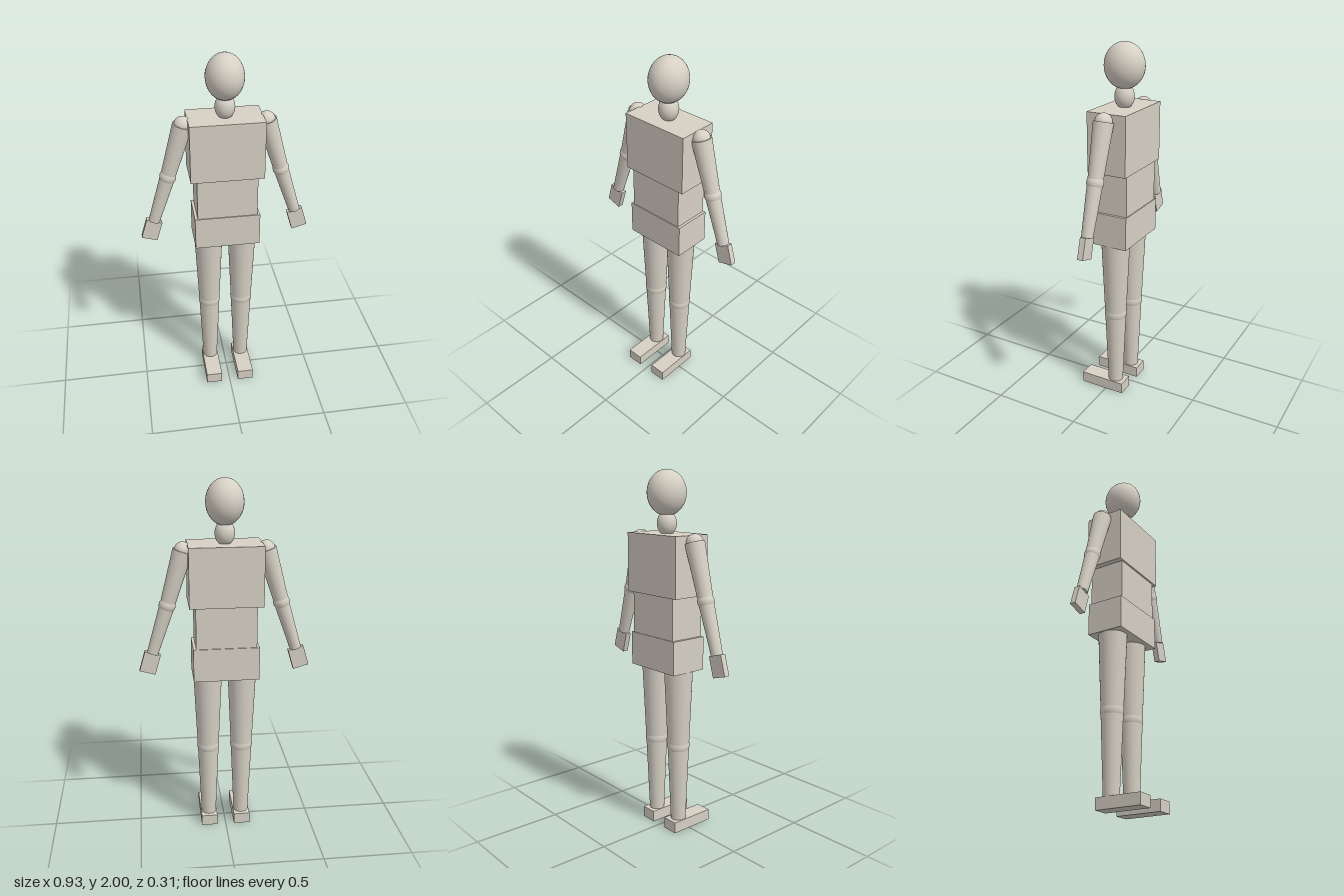
import * as THREE from 'three';

const Z = -0.044; // depth of the body axis

export function createModel() {
  const model = new THREE.Group();
  model.name = 'mannequin';
  const clay = new THREE.MeshStandardMaterial({ color: 0xd6d0c4 });
  clay.name = 'warm grey';

  const add = (name, geometry, x, y, z = Z) => {
    const mesh = new THREE.Mesh(geometry, clay);
    mesh.name = name;
    mesh.position.set(x, y, z);
    model.add(mesh);
    return mesh;
  };
  const box = (name, w, h, d, x, y, z) => add(name, new THREE.BoxGeometry(w, h, d), x, y, z);
  const ball = (name, r, x, y) => add(name, new THREE.SphereGeometry(r, 32, 20), x, y);

  // Tapered limb segment from point a (radius ra) down to point b (radius rb)
  const limb = (name, a, ra, b, rb) => {
    const dx = b[0] - a[0], dy = b[1] - a[1];
    const geometry = new THREE.CylinderGeometry(ra, rb, Math.hypot(dx, dy), 32);
    const mesh = add(name, geometry, (a[0] + b[0]) / 2, (a[1] + b[1]) / 2);
    mesh.rotation.z = Math.atan2(dx, -dy);
  };

  // Head and neck
  ball('head', 1, 0, 1.88).scale.set(0.1, 0.12, 0.109);
  ball('neck', 1, 0, 1.722).scale.set(0.053, 0.066, 0.053);

  // Torso blocks
  box('chest', 0.392, 0.32, 0.222, 0, 1.51);
  box('abdomen', 0.326, 0.226, 0.202, 0, 1.237);
  box('pelvis', 0.356, 0.184, 0.212, 0, 1.032);

  for (const [side, s] of [['left', 1], ['right', -1]]) {
    // Arm
    const shoulder = [s * 0.219, 1.635], elbow = [s * 0.306, 1.345], wrist = [s * 0.392, 1.078];
    ball(side + 'Shoulder', 0.046, ...shoulder);
    limb(side + 'UpperArm', shoulder, 0.053, elbow, 0.04);
    ball(side + 'Elbow', 0.045, ...elbow);
    limb(side + 'Forearm', elbow, 0.041, wrist, 0.031);
    box(side + 'Hand', 0.088, 0.115, 0.032, s * 0.408, 1.024).rotation.z = s * 0.285;

    // Leg
    const hip = [s * 0.095, 0.95], knee = [s * 0.095, 0.505], ankle = [s * 0.095, 0.06];
    limb(side + 'Thigh', hip, 0.079, knee, 0.06);
    ball(side + 'Knee', 0.063, ...knee);
    limb(side + 'Shin', knee, 0.06, ankle, 0.042);
    box(side + 'Foot', 0.092, 0.063, 0.261, s * 0.095, 0.0315, 0.0225);
  }
  return model;
}
